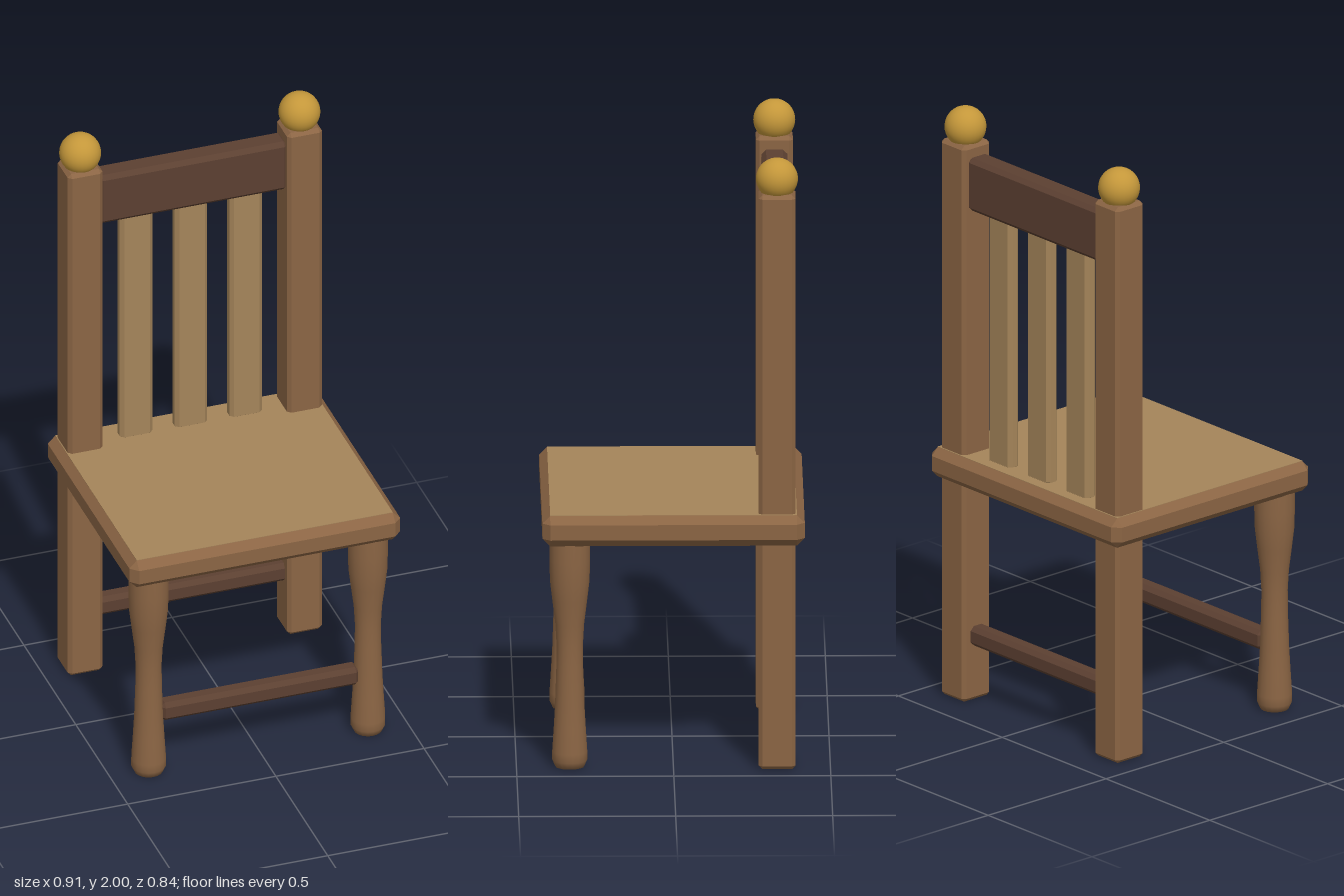
import * as THREE from 'three';
import { ConvexGeometry } from 'three/addons/geometries/ConvexGeometry.js';

const paint = (name, color) => {
  const m = new THREE.MeshStandardMaterial({ color });
  m.name = name;
  return m;
};

// Box with every edge cut at 45 degrees by c
function chamferBox(w, h, d, c) {
  const half = [w / 2, h / 2, d / 2];
  const points = [];
  for (const sx of [-1, 1]) for (const sy of [-1, 1]) for (const sz of [-1, 1]) {
    for (let full = 0; full < 3; full++) {
      const p = [sx, sy, sz].map((s, i) => s * (half[i] - (i === full ? 0 : c)));
      points.push(new THREE.Vector3(...p));
    }
  }
  return new ConvexGeometry(points);
}

export function createModel() {
  const wood = paint('mid wood', 0x8b6544);
  const lightWood = paint('light wood', 0xa5855a);
  const darkWood = paint('dark wood', 0x5c4031);
  const gold = paint('gold', 0xc4973a);

  const chair = new THREE.Group();
  chair.name = 'chair';
  const add = (name, geometry, material, x, y, z) => {
    const mesh = new THREE.Mesh(geometry, material);
    mesh.name = name;
    mesh.position.set(x, y, z);
    chair.add(mesh);
    return mesh;
  };

  const legX = 0.37, legZ = 0.33;

  // Seat board with a lighter top face
  add('seat', chamferBox(0.914, 0.1, 0.836, 0.025), wood, 0, 0.79, 0);
  add('seatTop', new THREE.BoxGeometry(0.864, 0.004, 0.786), lightWood, 0, 0.8395, 0);

  // Turned front legs, square back posts and ball finials
  const legProfile = [
    [0, 0], [0.046, 0], [0.056, 0.022], [0.056, 0.05], [0.051, 0.13], [0.047, 0.2],
    [0.043, 0.32], [0.042, 0.4], [0.046, 0.47], [0.056, 0.55], [0.063, 0.61], [0.065, 0.68], [0.065, 0.76],
  ].map(([r, y]) => new THREE.Vector2(r, y));
  const legGeometry = new THREE.LatheGeometry(legProfile, 18);
  const postGeometry = chamferBox(0.118, 1.89, 0.118, 0.012);
  const ballGeometry = new THREE.SphereGeometry(0.067, 28, 18);
  for (const [side, s] of [['left', 1], ['right', -1]]) {
    add(side + 'FrontLeg', legGeometry, wood, s * legX, 0, legZ);
    add(side + 'BackPost', postGeometry, wood, s * legX, 0.945, -legZ);
    add(side + 'Finial', ballGeometry, gold, s * legX, 1.933, -legZ);
  }

  // Top rail and upright slats
  add('topRail', chamferBox(0.64, 0.18, 0.082, 0.014), darkWood, 0, 1.76, -legZ);
  const slatGeometry = chamferBox(0.11, 0.86, 0.045, 0.012);
  for (const x of [-0.185, 0, 0.185]) add('slat', slatGeometry, lightWood, x, 1.26, -legZ);

  // Stretchers between the front legs and between the posts
  const stretcherGeometry = chamferBox(0.67, 0.066, 0.06, 0.014);
  add('frontStretcher', stretcherGeometry, darkWood, 0, 0.22, legZ);
  add('backStretcher', stretcherGeometry, darkWood, 0, 0.22, -legZ);

  return chair;
}
